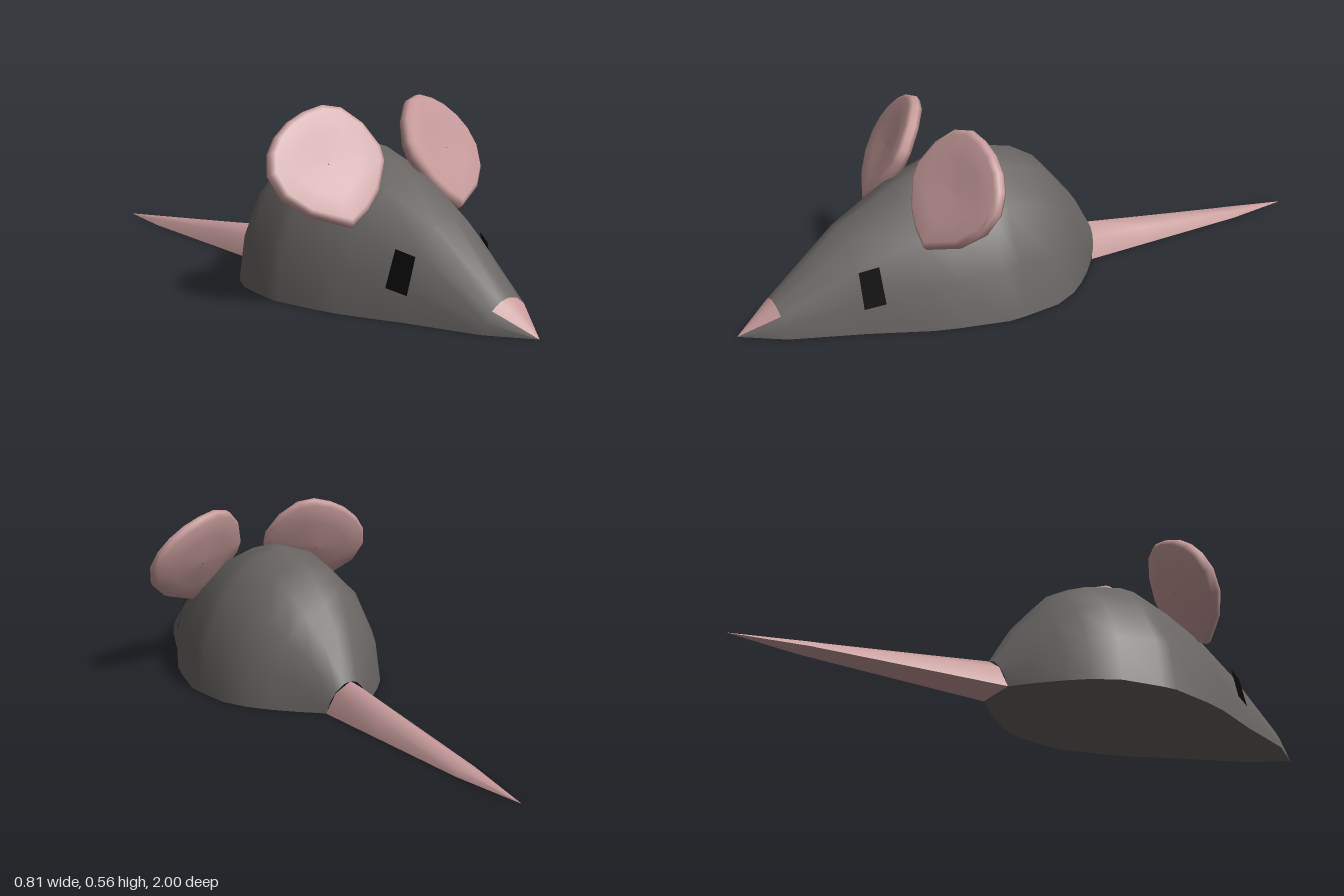
import * as THREE from 'three';

const GREY = 0x686563, PINK = 0xc69a9a, BLACK = 0x070707;

function makeMesh(name, geometry, color, side = THREE.FrontSide) {
  const mesh = new THREE.Mesh(geometry, new THREE.MeshStandardMaterial({ color, side }));
  mesh.name = name;
  return mesh;
}

function indexed(positions, index) {
  const g = new THREE.BufferGeometry();
  g.setAttribute('position', new THREE.Float32BufferAttribute(positions, 3));
  g.setIndex(index);
  g.computeVertexNormals();
  return g;
}

// Half-dome loft. Each section: [z at ground, half width, height, z shift at the top]
function loft(sections, n, power, keep = () => true) {
  const pos = [], idx = [];
  sections.forEach(([z, w, h, shift = 0], i) => {
    for (let k = 0; k <= n; k++) {
      const a = (Math.PI * k) / n;
      const c = Math.cos(a), s = Math.max(0, Math.sin(a));
      const up = k === n ? 0 : Math.pow(s, 2 / power);
      pos.push(w * Math.sign(c) * Math.pow(Math.abs(c), 2 / power), h * up, z + shift * up);
      if (i === sections.length - 1 || k === n || !keep(i, k)) continue;
      const A = i * (n + 1) + k, B = A + 1, C = A + n + 1, D = C + 1;
      if (sections[i][1] > 0) idx.push(A, C, B);
      if (sections[i + 1][1] > 0) idx.push(B, C, D);
      else if (sections[i][1] === 0) continue;
    }
  });
  return indexed(pos, idx);
}

// Flat underside following the ground outline of a loft
function underside(sections) {
  const right = sections.map(([z, w]) => new THREE.Vector2(w, z));
  const left = sections.filter((s) => s[1] > 0).reverse().map(([z, w]) => new THREE.Vector2(-w, z));
  return new THREE.ShapeGeometry(new THREE.Shape([...right, ...left])).rotateX(Math.PI / 2);
}

// Rounded, tilted disc: rings of the ear outline, pushed along the ear's normal
function earGeometry(side) {
  const outline = [
    [0.05, 0.44], [0.053, 0.4], [0.1, 0.322], [0.15, 0.275], [0.21, 0.238], [0.325, 0.275], [0.385, 0.325],
    [0.403, 0.385], [0.385, 0.44], [0.35, 0.483], [0.3, 0.52], [0.245, 0.545], [0.185, 0.56], [0.13, 0.55], [0.08, 0.505],
  ];
  const rings = [[0.01, 0.018], [0.55, 0.021], [0.9, 0.024], [0.98, 0.015], [1, -0.002], [0.95, -0.018], [0.6, -0.031], [0.01, -0.036]];
  const cx = 0.225, cy = 0.4, slopeX = -0.27, slopeY = -0.55;
  const normal = new THREE.Vector3(-slopeX, -slopeY, 1).normalize();
  const pos = [], idx = [], n = outline.length;
  rings.forEach(([scale, push], r) => {
    outline.forEach(([x, y], j) => {
      const dx = (x - cx) * scale, dy = (y - cy) * scale;
      const p = new THREE.Vector3(cx + dx, cy + dy, 0.4 + slopeX * dx + slopeY * dy).addScaledVector(normal, push);
      pos.push(side * p.x, p.y, p.z);
      if (r === rings.length - 1) return;
      const A = r * n + j, B = r * n + ((j + 1) % n), C = A + n, D = B + n;
      if (side > 0) idx.push(A, C, B, B, C, D);
      else idx.push(A, B, C, B, D, C);
    });
  });
  return indexed(pos, idx);
}

function eyeGeometry(side) {
  const corners = [[0.14, 0.18, 0.675], [0.17, 0.076, 0.675], [0.197, 0.091, 0.618], [0.165, 0.196, 0.622]];
  const pos = corners.flatMap(([x, y, z]) => [side * x, y, z]);
  return indexed(pos, side > 0 ? [0, 1, 2, 0, 2, 3] : [0, 2, 1, 0, 3, 2]);
}

export function createModel() {
  const group = new THREE.Group();

  // Body, from the snout tip back to the tail root
  const body = [
    [1, 0, 0], [0.88, 0.09, 0.09, 0.01], [0.67, 0.175, 0.275], [0.5, 0.255, 0.365], [0.42, 0.28, 0.4],
    [0.28, 0.313, 0.443], [0.23, 0.311, 0.444], [0.1, 0.292, 0.415], [0.02, 0.25, 0.37],
    [-0.04, 0.2, 0.305], [-0.1, 0.14, 0.225, -0.01], [-0.16, 0.07, 0.1, -0.025],
  ];
  const isNose = (i, k) => i === 0 && k >= 2 && k <= 5;
  group.add(makeMesh('body', loft(body, 8, 1.88, (i, k) => !isNose(i, k)), GREY));
  group.add(makeMesh('nose', loft(body.slice(0, 2), 8, 1.88, isNose), PINK));
  group.add(makeMesh('belly', underside(body), GREY));

  // Tapering tail
  const tail = [[-0.16, 0.072, 0.1, -0.025], [-0.4, 0.058, 0.073], [-0.77, 0.036, 0.028], [-1, 0, 0]];
  group.add(makeMesh('tail', loft(tail, 4, 1.7), PINK));
  group.add(makeMesh('tailUnderside', underside(tail), PINK));

  // Ears and eyes, mirrored
  for (const [label, side] of [['left', 1], ['right', -1]]) {
    group.add(makeMesh(label + 'Ear', earGeometry(side), PINK));
    group.add(makeMesh(label + 'Eye', eyeGeometry(side), BLACK, THREE.DoubleSide));
  }
  return group;
}
